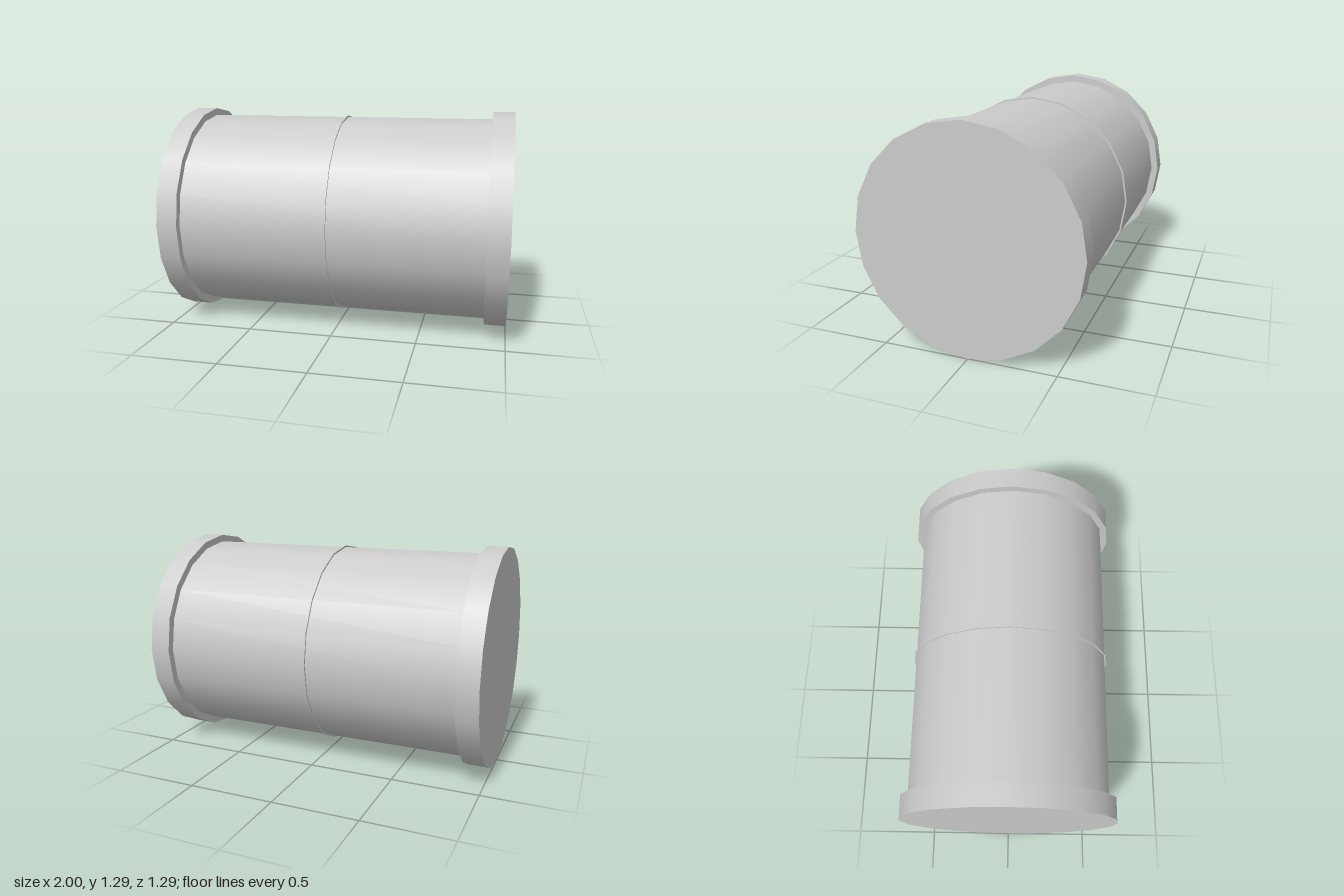
import * as THREE from 'three';

const SIDES = 20;
const AXIS_Y = 0.647;

export function createModel() {
  const group = new THREE.Group();
  const material = new THREE.MeshStandardMaterial({ color: 0xcccccc });

  // Closed drum lying along x, from x0 to x1
  const drum = (name, radius, x0, x1) => {
    const geometry = new THREE.CylinderGeometry(radius, radius, x1 - x0, SIDES);
    geometry.rotateZ(-Math.PI / 2);
    const mesh = new THREE.Mesh(geometry, material);
    mesh.name = name;
    mesh.position.set((x0 + x1) / 2, AXIS_Y, 0);
    group.add(mesh);
  };

  // Main barrel, with its ends hidden inside the caps
  drum('barrel', 0.6, -0.9, 0.9);

  // Thin raised seam round the middle
  drum('seamRing', 0.61, -0.013, -0.003);

  // Wider end caps
  drum('rightEndCap', 0.643, -1, -0.875);
  drum('leftEndCap', 0.643, 0.875, 1);

  return group;
}
